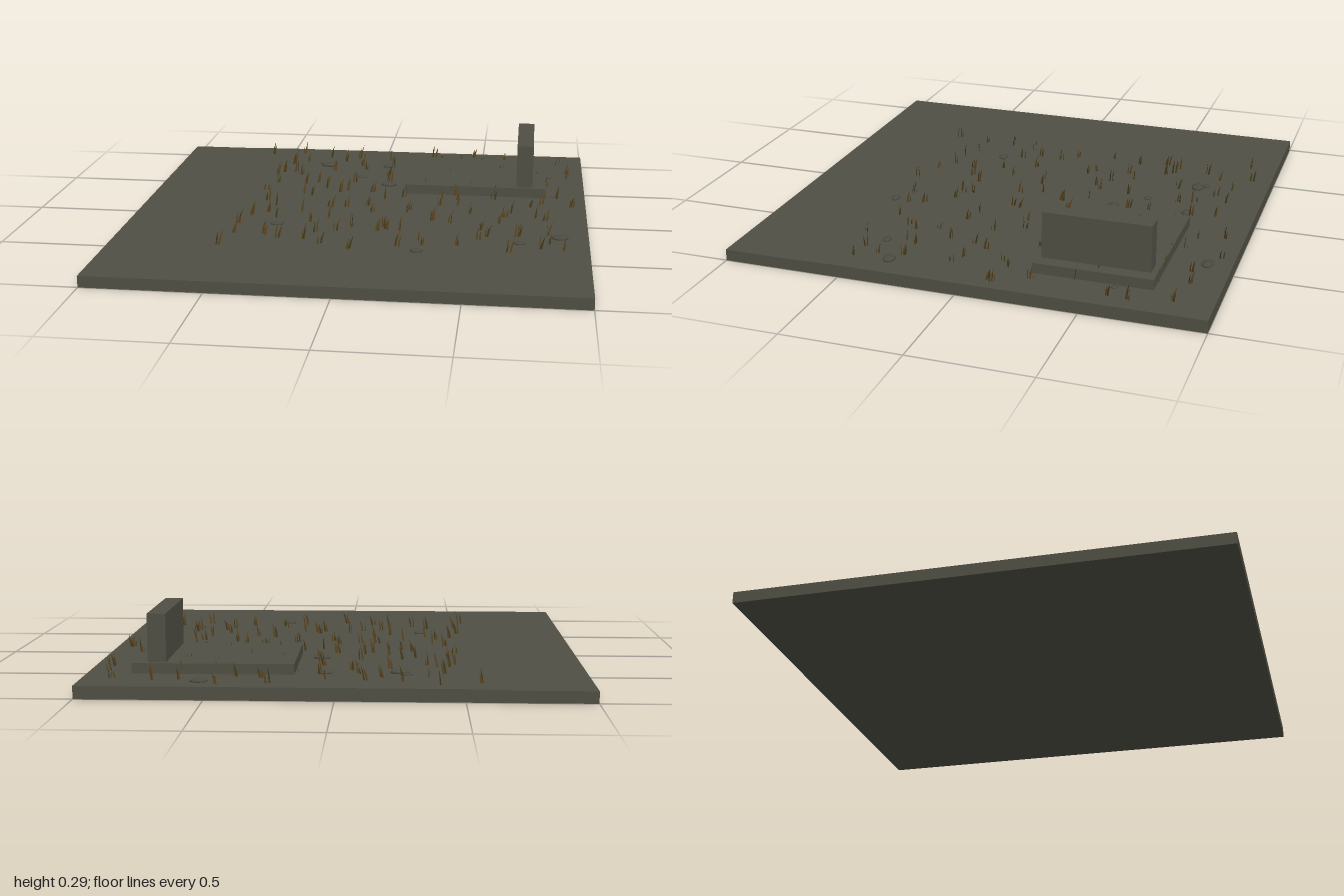
import * as THREE from 'three';

export function createModel() {
  const model = new THREE.Group();
  const mat = (name, color, side = THREE.FrontSide) => {
    const m = new THREE.MeshStandardMaterial({ color, side });
    m.name = name;
    return m;
  };
  const stone = mat('olive grey stone', 0x504f44);
  const pebble = mat('dark pebble', 0x4b4a41);
  const dryGrass = mat('dry grass', 0x5c431c, THREE.DoubleSide);
  const darkGrass = mat('dark grass', 0x3f3a1c, THREE.DoubleSide);

  const add = (name, geometry, material, parent = model) => {
    const mesh = new THREE.Mesh(geometry, material);
    mesh.name = name;
    parent.add(mesh);
    return mesh;
  };
  const block = (name, x0, x1, y0, y1, z0, z1) =>
    add(name, new THREE.BoxGeometry(x1 - x0, y1 - y0, z1 - z0), stone)
      .position.set((x0 + x1) / 2, (y0 + y1) / 2, (z0 + z1) / 2);

  // Ground slab, its top very slightly raised away from the front left edges
  const slab = new THREE.BoxGeometry(2, 0.048, 2, 8, 1, 8).translate(0, 0.024, 0);
  const p = slab.attributes.position;
  for (let i = 0; i < p.count; i++) {
    if (p.getY(i) > 0.04 && p.getX(i) > -0.7 && p.getZ(i) < 0.7) p.setY(i, 0.052);
  }
  add('ground', slab, stone);

  // Ruined foundation and its standing wall
  block('foundation', 0.17, 0.82, 0.04, 0.095, -0.75, -0.26);
  block('wall', 0.685, 0.76, 0.09, 0.29, -0.725, -0.28);

  // Flattened pebbles: x, z, radius
  const pebbles = new THREE.Group();
  pebbles.name = 'pebbles';
  model.add(pebbles);
  const pebbleShape = new THREE.LatheGeometry([
    [0.85, 0], [1, 0.14], [0.9, 0.28], [0.5, 0.42], [0, 0.46],
  ].map(([r, y]) => new THREE.Vector2(r, y)), 10);
  [
    [0.53, -0.9, 0.036], [-0.28, -0.73, 0.022], [-0.25, -0.695, 0.04], [0.05, -0.71, 0.032],
    [-0.06, -0.51, 0.022], [0.08, -0.385, 0.037], [0.84, -0.6, 0.017], [0.855, -0.28, 0.013],
    [-0.34, 0.27, 0.03], [0.88, 0.325, 0.037], [0.71, 0.41, 0.026], [0.29, 0.555, 0.028],
  ].forEach(([x, z, r]) => {
    const m = add('pebble', pebbleShape, pebble, pebbles);
    m.position.set(x, 0.05, z);
    m.scale.set(r, r, r * 0.7);
  });

  // Grass tufts: upright flat blades, each bending within its own plane
  let seed = 11;
  const rand = () => (seed = (seed * 16807) % 2147483647) / 2147483647;
  const blades = [[], []];
  for (let row = 0; row < 11; row++) {
    for (let col = 0; col < 11; col++) {
      const cx = -0.56 + (col + rand()) * 0.138;
      const cz = -0.94 + (row + rand()) * 0.137;
      for (let k = 0; k < 3; k++) {
        const x = cx + (rand() - 0.5) * 0.022, z = cz + (rand() - 0.5) * 0.022;
        const yaw = -Math.PI / 4 + (rand() - 0.5) * 1.6;
        const dx = Math.cos(yaw), dz = Math.sin(yaw);
        const h = 0.03 + rand() * 0.042, w = 0.0045, lean = h * (0.1 + rand() * 0.25);
        const at = (s, y) => [x + dx * s, 0.05 + y, z + dz * s];
        const a = at(-w, 0), b = at(w, 0), c = at(lean * 0.4 + w * 0.8, h * 0.55);
        const d = at(lean * 0.4 - w * 0.8, h * 0.55), tip = at(lean, h);
        blades[k === 2 ? 1 : 0].push(...a, ...b, ...c, ...a, ...c, ...d, ...d, ...c, ...tip);
      }
    }
  }
  blades.forEach((points, i) => {
    const g = new THREE.BufferGeometry();
    g.setAttribute('position', new THREE.Float32BufferAttribute(points, 3));
    g.computeVertexNormals();
    add(i ? 'darkGrassBlades' : 'dryGrassBlades', g, i ? darkGrass : dryGrass);
  });

  return model;
}
